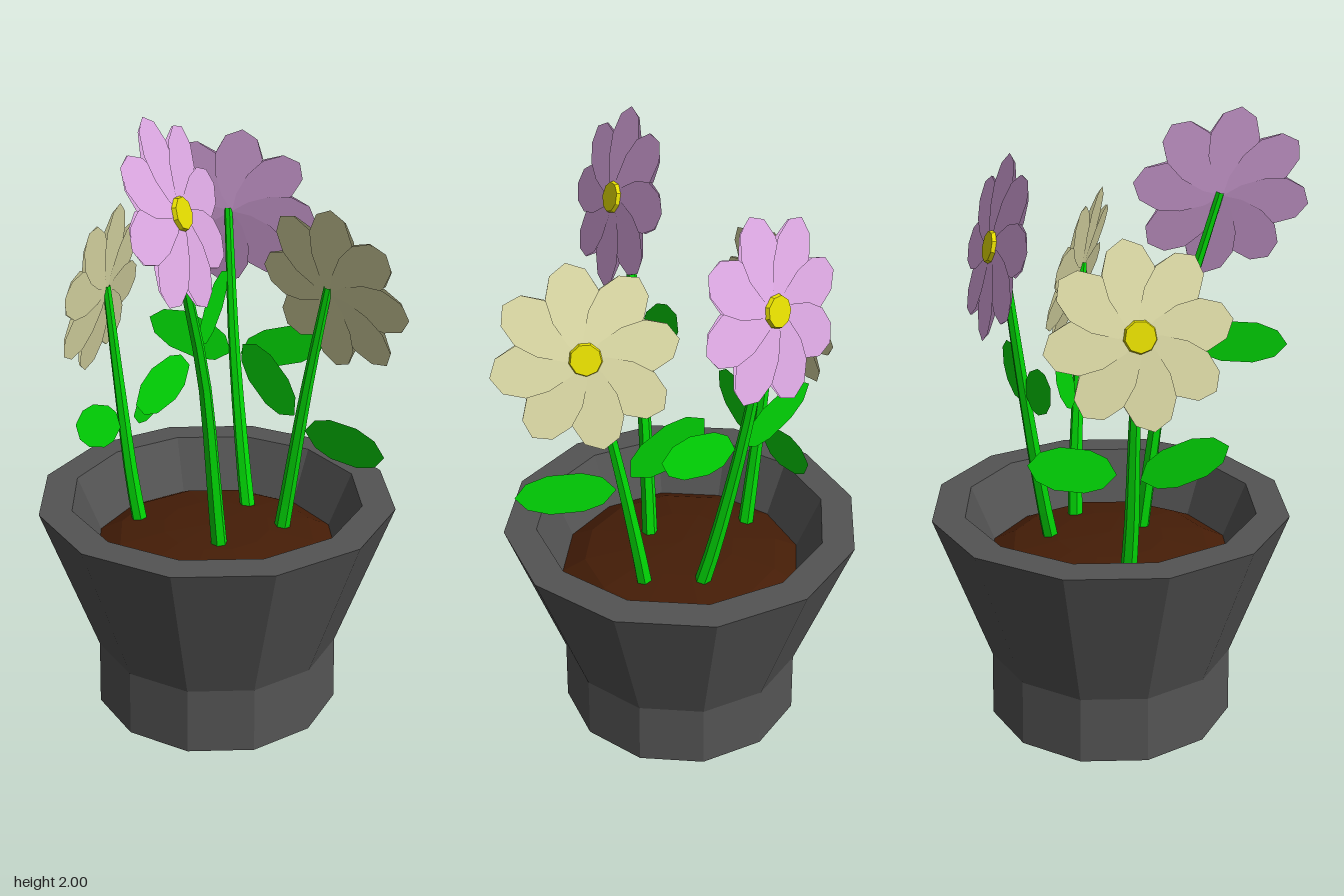
import * as THREE from 'three';

const mat = (name, color, extra = {}) => {
  const m = new THREE.MeshStandardMaterial({ color, flatShading: true, ...extra });
  m.name = name;
  return m;
};
const V = (x, y, z) => new THREE.Vector3(x, y, z);
const PETALS = 8;

// Symmetric flat outline growing along +x from the origin
function bladeGeometry(half) {
  const mirrored = half.slice(1, -1).reverse().map(([x, y]) => [x, -y]);
  const pts = [...half, ...mirrored].map(([x, y]) => new THREE.Vector2(x, y));
  return new THREE.ShapeGeometry(new THREE.Shape(pts.reverse()));
}

// Tapered stem swept along a curve
function stemGeometry(points) {
  const curve = new THREE.CatmullRomCurve3(points.map((p) => V(...p)));
  const seg = 8, sides = 6;
  const geo = new THREE.TubeGeometry(curve, seg, 0.027, sides, false);
  const pos = geo.attributes.position, v = V(0, 0, 0);
  for (let i = 0; i < pos.count; i++) {
    const t = Math.floor(i / (sides + 1)) / seg;
    const c = curve.getPointAt(t);
    v.fromBufferAttribute(pos, i).sub(c).multiplyScalar(1 - 0.5 * t).add(c);
    pos.setXYZ(i, v.x, v.y, v.z);
  }
  return geo;
}

export function createModel() {
  const model = new THREE.Group();
  model.name = 'pottedFlowers';

  const thin = { side: THREE.DoubleSide };
  const potMat = mat('charcoal', 0x545454);
  const soilMat = mat('soil brown', 0x451d07);
  const green = mat('leaf green', 0x00dc05, thin);
  const yellow = mat('centre yellow', 0xeae200);
  const lilac = mat('lilac', 0xe4aeea, thin);
  const cream = mat('cream', 0xe2e0aa, thin);

  const add = (parent, name, geo, material) => {
    const m = new THREE.Mesh(geo, material);
    m.name = name;
    parent.add(m);
    return m;
  };
  const lathe = (pts) => new THREE.LatheGeometry(pts.map(([x, y]) => new THREE.Vector2(x, y)), 12);

  // Pot with a straight foot, flared body and open rim
  add(model, 'pot', lathe([[0, 0], [0.417, 0], [0.412, 0.225], [0.592, 0.735], [0.485, 0.735], [0.385, 0.5]]), potMat);
  // Gently domed soil
  add(model, 'soil', lathe([[0.41, 0.55], [0.33, 0.59], [0.18, 0.612], [0, 0.62]]), soilMat);

  const petalGeo = bladeGeometry([[0, 0], [0.05, 0.04], [0.12, 0.07], [0.19, 0.077], [0.252, 0.052], [0.28, 0]]);
  const leafGeo = bladeGeometry([[0, 0], [0.04, 0.048], [0.1, 0.068], [0.2, 0.068], [0.265, 0.045], [0.3, 0]]).rotateX(0.08);
  const hubGeo = new THREE.CylinderGeometry(0.046, 0.05, 0.012, 9).rotateX(Math.PI / 2);

  // facing: horizontal direction of the bloom; leaves: start, end of each midrib
  const flowers = [
    {
      color: lilac, center: [-0.205, 1.605, -0.3], facing: [-0.57, -0.82], tilt: 0.23,
      stem: [[-0.03, 0.58, -0.195], [-0.07, 0.75, -0.212], [-0.145, 1.15, -0.245], [-0.208, 1.61, -0.282]],
      leaves: [[[-0.15, 1.13, -0.235], [-0.39, 1.24, -0.085]], [[-0.12, 1.13, -0.25], [0.13, 1.2, -0.4]]],
    },
    {
      color: cream, center: [0.315, 1.445, -0.185], facing: [0.03, -1], tilt: 0.28,
      stem: [[0.15, 0.58, -0.16], [0.175, 0.75, -0.165], [0.235, 1.1, -0.165], [0.308, 1.46, -0.166]],
      leaves: [[[0.235, 0.97, -0.165], [0.55, 0.97, -0.16]], [[0.19, 1.01, -0.165], [-0.04, 1.2, -0.17]]],
    },
    {
      color: cream, center: [-0.345, 1.4, 0.165], facing: [-0.92, 0.387], tilt: 0.2,
      stem: [[-0.25, 0.58, 0.115], [-0.27, 0.75, 0.13], [-0.305, 1.1, 0.145], [-0.33, 1.41, 0.16]],
      leaves: [[[-0.285, 0.935, 0.16], [-0.21, 1.04, 0.415]], [[-0.295, 0.95, 0.09], [-0.38, 0.99, -0.165]]],
    },
    {
      color: lilac, center: [0.145, 1.735, 0.32], facing: [0.95, -0.316], tilt: 0.28,
      stem: [[0.095, 0.58, 0.085], [0.095, 0.75, 0.105], [0.102, 1.2, 0.165], [0.115, 1.5, 0.25], [0.127, 1.74, 0.318]],
      leaves: [[[0.115, 1.27, 0.24], [0.2, 1.25, 0.54]], [[0.09, 1.31, 0.17], [0.02, 1.485, -0.03]]],
    },
  ];

  flowers.forEach((f, k) => {
    const plant = new THREE.Group();
    plant.name = `flower${k + 1}`;
    model.add(plant);
    add(plant, 'stem', stemGeometry(f.stem), green);

    // Nearly upright leaves on both sides of the stem
    for (const [a, b] of f.leaves) {
      const start = V(...a), along = V(...b).sub(start);
      const length = along.length();
      const x = along.normalize();
      const z = V(x.x, 0, x.z).normalize().cross(V(0, 1, 0));
      const y = z.clone().cross(x);
      const leaf = add(plant, 'leaf', leafGeo, green);
      leaf.quaternion.setFromRotationMatrix(new THREE.Matrix4().makeBasis(x, y, z));
      leaf.position.copy(start);
      leaf.scale.x = length / 0.3;
    }

    // Bloom: petals with a front and a back skin that meet at the tip
    const bloom = new THREE.Group();
    bloom.name = 'bloom';
    bloom.position.set(...f.center);
    bloom.rotation.set(-f.tilt, Math.atan2(f.facing[0], f.facing[1]), 0, 'YXZ');
    plant.add(bloom);
    for (let i = 0; i < PETALS; i++) {
      for (const side of [1, -1]) {
        const petal = add(bloom, side > 0 ? 'petalFront' : 'petalBack', petalGeo, f.color);
        petal.position.z = side * 0.018;
        petal.rotation.set(0.04, side * 0.064, Math.PI / 2 + 0.14 + (i * 2 * Math.PI) / PETALS, 'ZYX');
      }
    }
    add(bloom, 'flowerCentre', hubGeo, yellow).position.z = 0.022;
  });

  return model;
}
